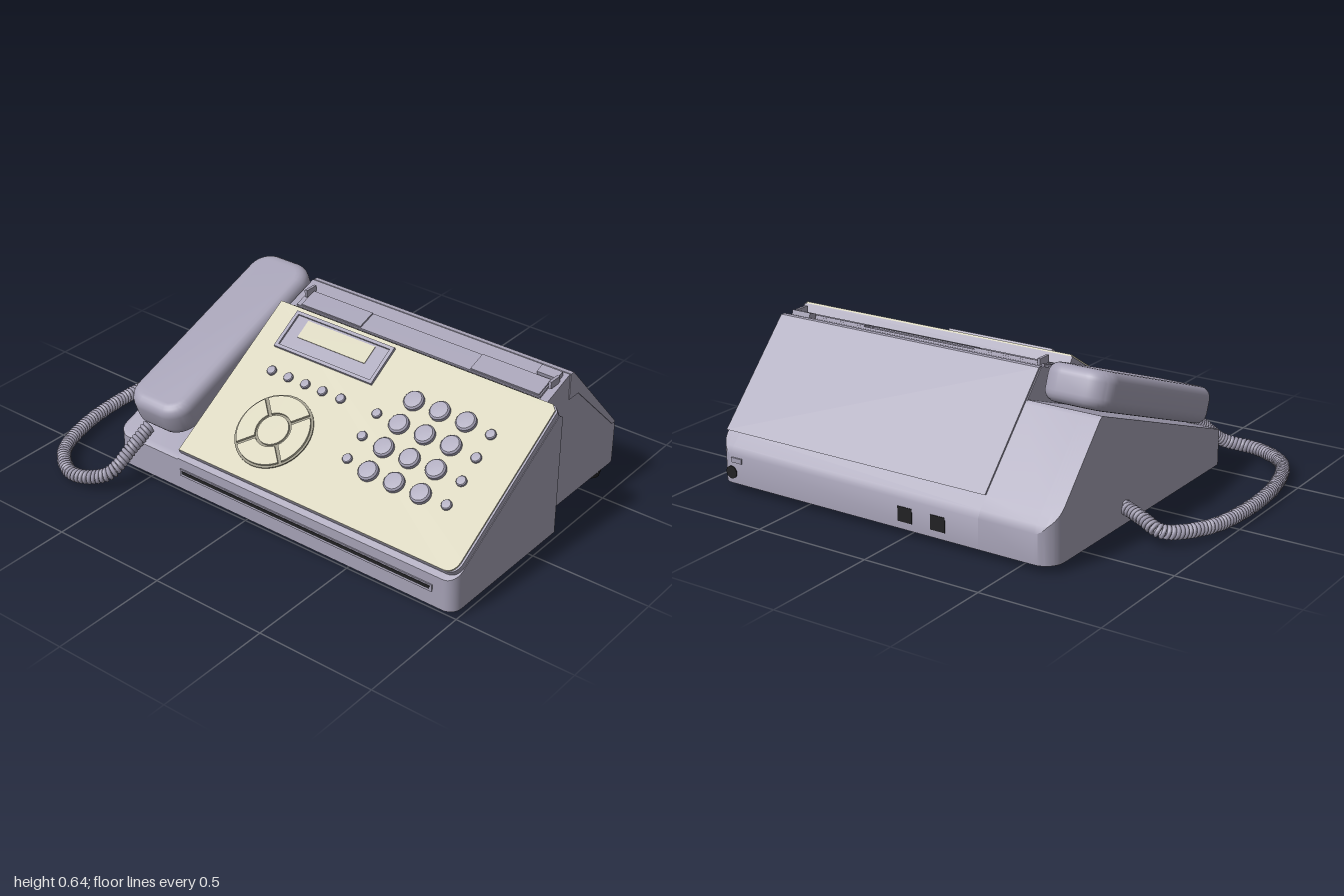
import * as THREE from 'three';
import { toCreasedNormals } from 'three/addons/utils/BufferGeometryUtils.js';

const mat = (name, color, side = THREE.FrontSide) => {
  const m = new THREE.MeshStandardMaterial({ color, side });
  m.name = name;
  return m;
};

export function createModel() {
  const root = new THREE.Group();
  root.name = 'deskFaxPhone';
  const grey = mat('lavenderGrey', 0xa5a1b5);
  const cream = mat('cream', 0xd2ceb6);
  const groove = mat('oliveGroove', 0x8c8876);
  const black = mat('black', 0x222224);

  const add = (parent, name, geo, material, x = 0, y = 0, z = 0) => {
    const m = new THREE.Mesh(geo, material);
    m.name = name;
    m.position.set(x, y, z);
    parent.add(m);
    return m;
  };
  const box = (parent, name, w, h, d, material, x, y, z) =>
    add(parent, name, new THREE.BoxGeometry(w, h, d), material, x, y, z);
  const tilted = (name, y, z, angle) => {
    const g = new THREE.Group();
    g.name = name;
    g.position.set(0, y, z);
    g.rotation.x = angle;
    root.add(g);
    return g;
  };

  // Solid with a height profile along z and rounded vertical corners
  const inset = (d, r) => (d < r ? r - Math.sqrt(r * r - (r - d) ** 2) : 0);
  function profileBlock(x0, x1, y0, profile, { fl = 0, fr = 0, bl = 0, br = 0 }) {
    const height = (z) => {
      for (let i = 0; i < profile.length - 1; i++) {
        const [za, ya] = profile[i], [zb, yb] = profile[i + 1];
        if (z <= zb) return ya + (yb - ya) * (z - za) / (zb - za);
      }
      return profile[profile.length - 1][1];
    };
    const xs = new Set([x0, x1]);
    for (let k = 0; k <= 8; k++) {
      const c = 1 - Math.cos(k / 8 * Math.PI / 2);
      for (const r of [fl, bl]) if (r) xs.add(x0 + r * c);
      for (const r of [fr, br]) if (r) xs.add(x1 - r * c);
    }
    const slices = [...xs].sort((a, b) => a - b);
    const n = profile.length, R = 2 * n, pos = [], idx = [];
    for (const x of slices) {
      const a = x - x0, b = x1 - x;
      const zMin = profile[0][0] + Math.max(inset(a, bl), inset(b, br));
      const zMax = profile[n - 1][0] - Math.max(inset(a, fl), inset(b, fr));
      const zs = profile.map(([z]) => Math.min(zMax, Math.max(zMin, z)));
      zs.forEach((z) => pos.push(x, height(z), z));
      [...zs].reverse().forEach((z) => pos.push(x, y0, z));
    }
    for (let i = 0; i < slices.length - 1; i++) {
      for (let j = 0; j < R; j++) {
        const a = i * R + j, b = i * R + (j + 1) % R, c = b + R, d = a + R;
        idx.push(a, b, c, a, c, d);
      }
    }
    const last = (slices.length - 1) * R;
    for (let j = 0; j < n - 1; j++) {
      const p = j, q = R - 1 - j, r = R - 2 - j, s = j + 1;
      idx.push(p, q, r, p, r, s);
      idx.push(last + p, last + r, last + q, last + p, last + s, last + r);
    }
    const g = new THREE.BufferGeometry();
    g.setAttribute('position', new THREE.Float32BufferAttribute(pos, 3));
    g.setIndex(idx);
    return toCreasedNormals(g, 0.5);
  }

  // Housing: rear paper bay, sloped front desk, handset cradle
  add(root, 'rearHousing', profileBlock(-0.33, 0.91, 0.03,
    [[-0.755, 0.15], [-0.74, 0.18], [-0.7, 0.22], [-0.345, 0.605], [-0.325, 0.61], [-0.14, 0.545]], { br: 0.06 }), grey);
  add(root, 'frontHousing', profileBlock(-0.33, 1, 0.03,
    [[-0.145, 0.545], [-0.12, 0.56], [0.52, 0.165]], { fr: 0.05 }), grey);
  add(root, 'handsetCradle', profileBlock(-0.65, -0.33, 0.03,
    [[-0.755, 0.15], [-0.74, 0.18], [-0.7, 0.22], [-0.445, 0.5], [-0.43, 0.51], [0.5, 0.175], [0.52, 0.16]],
    { fl: 0.05, bl: 0.08 }), grey);

  // Rear lid wrapping over the back slope
  const lid = new THREE.Shape([[0.33, 0.612], [0.33, 0.5], [0.395, 0.5], [0.68, 0.225], [0.705, 0.225], [0.35, 0.612]]
    .map(([x, y]) => new THREE.Vector2(x, y)));
  const lidGeo = new THREE.ExtrudeGeometry(lid, { depth: 1.24, bevelEnabled: false });
  lidGeo.rotateY(Math.PI / 2).scale(1, 1, 1);
  add(root, 'rearLid', lidGeo, grey, -0.326);

  // Trough, paper slit and guide plates on top of the rear bay
  const bay = tilted('paperBay', 0.5775, -0.2375, 0.322);
  box(bay, 'paperSlit', 1.18, 0.008, 0.02, black, 0.285, 0.003, 0.074);
  box(bay, 'guideRail', 1.17, 0.014, 0.09, grey, 0.29, 0.004, 0.012);
  for (const [w, x] of [[0.3, -0.12], [0.31, 0.715]]) box(bay, 'paperGuide', w, 0.012, 0.085, grey, x, 0.012, 0.012);
  box(bay, 'releaseLatch', 0.09, 0.03, 0.04, grey, 0.845, 0.008, -0.06);
  for (const x of [-0.28, 0.89]) box(root, 'lidPeg', 0.012, 0.03, 0.06, grey, x, 0.605, -0.25);
  box(root, 'rearTab', 0.05, 0.02, 0.012, grey, 0.82, 0.13, -0.756);

  // Control panel, in its own tilted frame
  const pitch = 0.557, zc = 0.1975, L = 0.748;
  const panel = tilted('controlPanel', 0.4025, zc, pitch);
  const v = (z) => (z - zc) / Math.cos(pitch);
  const flat = (shape, h) => new THREE.ExtrudeGeometry(shape, { depth: h, bevelEnabled: false, curveSegments: 24 })
    .rotateX(-Math.PI / 2);
  const panelShape = (x0, x1) => {
    const s = new THREE.Shape();
    s.moveTo(x0, L / 2).lineTo(x0, -L / 2).lineTo(x1 - 0.05, -L / 2);
    s.quadraticCurveTo(x1, -L / 2, x1, -L / 2 + 0.06);
    s.lineTo(x1, L / 2 - 0.02).lineTo(x1 - 0.02, L / 2);
    return s;
  };
  add(panel, 'panelSlab', flat(panelShape(-0.33, 0.998), 0.038), grey, 0, -0.045);
  add(panel, 'panelFace', flat(panelShape(-0.325, 0.99), 0.008), cream, 0, -0.008);

  // Display with raised frame
  const rect = (C, w, h) => new C().moveTo(-w / 2, -h / 2).lineTo(w / 2, -h / 2).lineTo(w / 2, h / 2).lineTo(-w / 2, h / 2).closePath();
  const frame = rect(THREE.Shape, 0.485, 0.176);
  frame.holes.push(rect(THREE.Path, 0.455, 0.148));
  add(panel, 'displayFrame', flat(frame, 0.012), grey, 0.02, 0, v(-0.028));
  box(panel, 'displayBezel', 0.47, 0.006, 0.16, grey, 0.02, 0.001, v(-0.028));
  box(panel, 'displayScreen', 0.335, 0.006, 0.082, cream, 0.015, 0.004, v(-0.048));

  // Keys
  const key = (name, x, z, r, h) => add(panel, name, toCreasedNormals(new THREE.LatheGeometry(
    [[r, 0], [r, h * 0.6], [r * 0.85, h * 0.9], [0, h]].map(([a, b]) => new THREE.Vector2(a, b)), 24), 0.5), grey, x, 0, v(z));
  for (const x of [0.465, 0.585, 0.705]) for (const z of [0.045, 0.138, 0.231, 0.324]) key('numberKey', x, z, 0.041, 0.024);
  for (const x of [-0.165, -0.08, 0.005, 0.09, 0.18]) key('functionKey', x, 0.132, 0.02, 0.014);
  for (const z of [0.132, 0.222, 0.312]) key('sideKey', 0.355, z, 0.02, 0.014);
  for (const z of [0.053, 0.143, 0.233, 0.323]) key('memoryKey', 0.82, z, 0.021, 0.014);

  // Round navigation pad: four sectors and a centre button
  const pad = new THREE.Group();
  pad.name = 'navigationPad';
  pad.position.set(0.005, 0, v(0.325));
  panel.add(pad);
  add(pad, 'padBase', new THREE.CylinderGeometry(0.163, 0.163, 0.006, 40), groove, 0, 0.002);
  for (let i = 0; i < 4; i++) {
    const s = new THREE.Shape(), a = i * Math.PI / 2;
    s.absarc(0, 0, 0.153, a - 0.74, a + 0.74, false);
    s.absarc(0, 0, 0.075, a + 0.69, a - 0.69, true);
    add(pad, 'padSector', flat(s, 0.014), cream);
  }
  add(pad, 'padCentre', new THREE.CylinderGeometry(0.065, 0.065, 0.014, 32), cream, 0, 0.007);

  // Front paper exit
  box(root, 'exitLip', 1.22, 0.03, 0.008, grey, 0.295, 0.108, 0.521);
  box(root, 'exitSlot', 1.2, 0.014, 0.008, black, 0.295, 0.11, 0.5225);

  // Handset
  const w = 0.29, len = 0.925, b = 0.045, hw = w / 2 - b, hl = len / 2 - b, r = 0.05;
  const hs = new THREE.Shape();
  hs.absarc(hw - r, hl - r, r, 0, Math.PI / 2);
  hs.absarc(-hw + r, hl - r, r, Math.PI / 2, Math.PI);
  hs.absarc(-hw + r, -hl + r, r, Math.PI, Math.PI * 1.5);
  hs.absarc(hw - r, -hl + r, r, Math.PI * 1.5, Math.PI * 2);
  const hsGeo = new THREE.ExtrudeGeometry(hs, { depth: 0.06, bevelSize: b, bevelThickness: b, bevelSegments: 5, curveSegments: 8 });
  hsGeo.rotateX(-Math.PI / 2).translate(0, -0.105, 0);
  add(root, 'handset', toCreasedNormals(hsGeo, 0.6), grey, -0.487, 0.497, 0.075).rotation.x = 0.35;

  // Coiled cord
  const path = new THREE.CatmullRomCurve3([
    [-0.525, 0.215, 0.47], [-0.54, 0.15, 0.56], [-0.575, 0.065, 0.665], [-0.71, 0.035, 0.72], [-0.86, 0.035, 0.63],
    [-0.95, 0.035, 0.4], [-0.97, 0.035, 0.1], [-0.93, 0.04, -0.14], [-0.83, 0.06, -0.3], [-0.74, 0.085, -0.285], [-0.64, 0.1, -0.25],
  ].map((p) => new THREE.Vector3(...p)));
  const turns = 105, up = new THREE.Vector3(0, 1, 0);
  class Coil extends THREE.Curve {
    getUtoTmapping(u) { return u; }
    getPoint(t) {
      const u = Math.min(1, Math.max(0, t)), a = t * turns * Math.PI * 2;
      const tan = path.getTangentAt(u);
      const side = new THREE.Vector3().crossVectors(tan, up).normalize();
      const nrm = new THREE.Vector3().crossVectors(side, tan);
      return path.getPointAt(u).addScaledVector(side, 0.021 * Math.cos(a)).addScaledVector(nrm, 0.021 * Math.sin(a));
    }
  }
  add(root, 'coiledCord', new THREE.TubeGeometry(new Coil(), turns * 12, 0.009, 6), grey);

  // Feet, rear sockets and underside speaker vents
  for (const x of [-0.52, 0.87]) for (const z of [0.4, -0.62])
    add(root, 'foot', new THREE.CylinderGeometry(0.042, 0.034, 0.032, 20), black, x, 0.016, z);
  for (const x of [0, -0.15]) box(root, 'phoneSocket', 0.065, 0.06, 0.008, black, x, 0.09, -0.7535);
  add(root, 'powerSocket', new THREE.CylinderGeometry(0.026, 0.026, 0.03, 20).rotateX(Math.PI / 2), black, 0.85, 0.075, -0.744);
  for (let i = -4; i <= 4; i++) {
    const half = Math.sqrt(0.1 ** 2 - (i * 0.021) ** 2);
    box(root, 'speakerVent', 2 * half, 0.004, 0.007, black, 0.71, 0.0295, 0.15 + i * 0.021);
  }
  return root;
}
